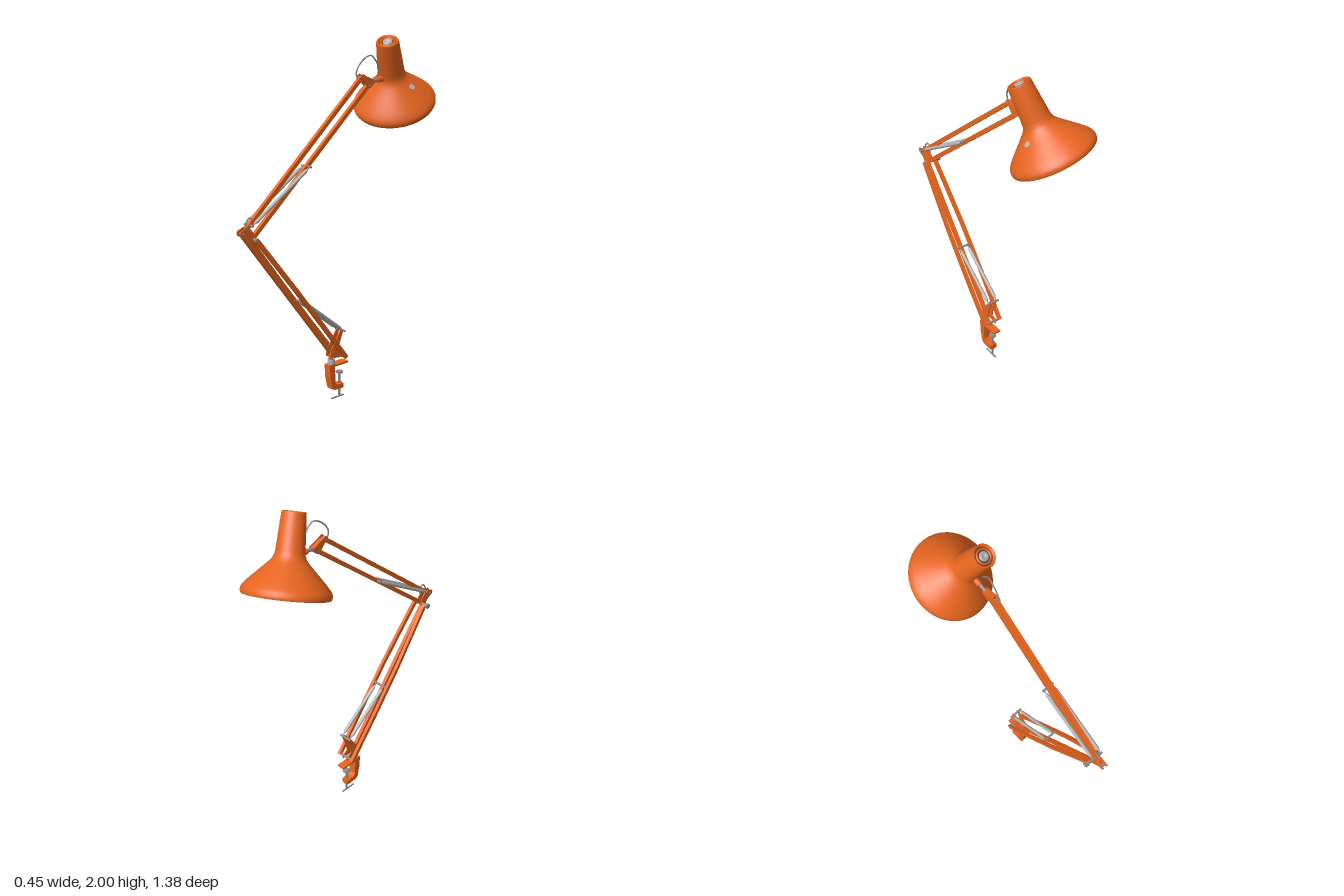
import * as THREE from 'three';

const material = (name, color) => {
  const m = new THREE.MeshStandardMaterial({ color });
  m.name = name;
  return m;
};
const V = (x, y, z) => new THREE.Vector3(x, y, z);
const CX = 0.039; // centre plane of the arm

export function createModel() {
  const model = new THREE.Group();
  model.name = 'deskLamp';
  const orange = material('orangePaint', 0xe9661f);
  const steel = material('steel', 0x8c8c8c);
  const bright = material('brightSteel', 0xb4b4b4);
  const lining = material('shadeLining', 0xb9b5b2);
  const dark = material('darkMetal', 0x4a4541);
  const glass = material('bulbGlass', 0xbdbab6);

  const add = (name, geo, mat, parent = model) => {
    const mesh = new THREE.Mesh(geo, mat);
    mesh.name = name;
    parent.add(mesh);
    return mesh;
  };
  // Rectangular bar between two points
  const bar = (name, a, b, w, h) => {
    const m = add(name, new THREE.BoxGeometry(w, h, a.distanceTo(b)), orange);
    m.position.copy(a).lerp(b, 0.5);
    m.lookAt(b);
  };
  // Round rod between two points
  const rod = (name, a, b, r, mat = steel) => {
    const m = add(name, new THREE.CylinderGeometry(r, r, a.distanceTo(b), 16), mat);
    m.position.copy(a).lerp(b, 0.5);
    m.quaternion.setFromUnitVectors(V(0, 1, 0), b.clone().sub(a).normalize());
  };
  // Pin running across the arm at a given height and depth
  const pin = (name, y, z, half, r) =>
    rod(name, V(CX - half, y, z), V(CX + half, y, z), r);
  // Side-profile plate, points as [z, y]
  const plate = (name, pts, width, x = CX) => {
    const shape = new THREE.Shape(pts.map(p => new THREE.Vector2(p[0], p[1])));
    const geo = new THREE.ExtrudeGeometry(shape, { depth: width, bevelEnabled: false });
    geo.translate(0, 0, -width / 2).rotateY(-Math.PI / 2).translate(x, 0, 0);
    add(name, geo, orange);
  };
  const wire = (name, pts, r) => add(name,
    new THREE.TubeGeometry(new THREE.CatmullRomCurve3(pts), 32, r, 8), steel);
  // Tightly wound spring body with tapered ends and thin hooks
  const spring = (name, a, b) => {
    const len = a.distanceTo(b);
    const pts = [[0.003, 0.015], [0.0098, 0.035], [0.0098, len - 0.035], [0.003, len - 0.015]];
    const m = add(name, new THREE.LatheGeometry(pts.map(p => new THREE.Vector2(...p)), 16), bright);
    m.position.copy(a);
    m.quaternion.setFromUnitVectors(V(0, 1, 0), b.clone().sub(a).normalize());
    rod(name + 'Hook', a, b, 0.003);
  };

  // Table clamp
  plate('clampBody', [[0.075, 0.215], [0.07, 0.14], [0.055, 0.075], [0.04, 0.062], [-0.03, 0.06],
    [-0.03, 0.085], [0.02, 0.09], [0.032, 0.105], [0.036, 0.195], [0.03, 0.215]], 0.044);
  plate('clampUpperJaw', [[0.07, 0.2], [0.07, 0.211], [-0.065, 0.211], [-0.065, 0.2]], 0.046);
  rod('clampScrew', V(CX, 0.006, -0.018), V(CX, 0.152, -0.018), 0.006);
  rod('screwPad', V(CX, 0.146, -0.018), V(CX, 0.156, -0.018), 0.02);
  rod('screwNut', V(CX, 0.055, -0.018), V(CX, 0.09, -0.018), 0.014, orange);
  rod('screwHandle', V(CX, 0.006, 0.042), V(CX, 0.006, -0.05), 0.0045);
  rod('swivelCollar', V(CX, 0.212, 0.045), V(CX, 0.242, 0.045), 0.021, bright);
  rod('swivelPost', V(CX, 0.242, 0.045), V(CX, 0.3, 0.045), 0.014, orange);

  // Base bracket carrying both lower bars and the spring arm
  for (const s of [-1, 1]) {
    plate('baseBracket', [[0.068, 0.262], [0.062, 0.3], [0.03, 0.345], [-0.015, 0.41], [-0.032, 0.4],
      [-0.004, 0.33], [0.005, 0.285], [-0.03, 0.262], [-0.03, 0.242], [0.03, 0.25]], 0.006, CX + s * 0.016);
  }
  pin('springAnchorPin', 0.4, -0.022, 0.04, 0.006);
  pin('lowerBarPin', 0.255, -0.018, 0.058, 0.008);
  pin('centreBarPin', 0.287, 0.045, 0.022, 0.008);

  // Lower arm: one centre bar and two bowed outer bars
  bar('lowerCentreBar', V(CX, 0.28, 0.045), V(CX, 1.068, 0.662), 0.02, 0.024);
  const low = V(0, 0.25, -0.022), high = V(0, 1.035, 0.597);
  for (const s of [-1, 1]) {
    const at = (t, off) => low.clone().lerp(high, t).setX(CX + s * off);
    const stops = [at(0, 0.049), at(0.3, 0.051), at(0.6, 0.049), at(0.8, 0.042), at(1, 0.034)];
    for (let i = 0; i < 4; i++) bar('lowerOuterBar', stops[i], stops[i + 1], 0.018, 0.023);
    spring('lowerSpring', V(CX + s * 0.027, 0.4, -0.022), V(CX + s * 0.027, 0.626, 0.265));
    spring('upperSpring', V(CX + s * 0.027, 1.11, 0.617), V(CX + s * 0.027, 1.358, 0.222));
  }
  pin('lowerSpringPin', 0.626, 0.265, 0.042, 0.006);

  // Elbow
  for (const s of [-1, 1]) {
    plate('elbowBracket', [[0.686, 1.078], [0.68, 1.062], [0.66, 1.054], [0.6, 1.022], [0.582, 1.03],
      [0.588, 1.05], [0.612, 1.085], [0.63, 1.105], [0.645, 1.102], [0.665, 1.094], [0.68, 1.09]],
    0.005, CX + s * 0.0135);
  }
  pin('elbowPin', 1.073, 0.664, 0.019, 0.008);
  pin('elbowLowerPin', 1.035, 0.597, 0.044, 0.008);
  pin('elbowUpperPin', 1.092, 0.636, 0.018, 0.006);
  pin('elbowSpringPin', 1.11, 0.617, 0.036, 0.006);
  rod('elbowKnob', V(-0.024, 1.035, 0.597), V(-0.005, 1.035, 0.597), 0.015);
  wire('elbowCable', [V(CX, 1.085, 0.638), V(CX, 1.12, 0.637), V(CX, 1.145, 0.617),
    V(CX, 1.14, 0.598), V(CX, 1.1, 0.59)], 0.004);

  // Upper arm: two parallel bars
  bar('upperTopBar', V(CX, 1.092, 0.636), V(CX, 1.785, -0.176), 0.02, 0.023);
  bar('upperBottomBar', V(CX, 1.037, 0.597), V(CX, 1.737, -0.226), 0.02, 0.023);
  pin('upperSpringPin', 1.358, 0.222, 0.036, 0.006);

  // Head joint
  for (const s of [-1, 1]) {
    plate('headBracket', [[-0.158, 1.788], [-0.175, 1.806], [-0.205, 1.79], [-0.262, 1.768],
      [-0.262, 1.748], [-0.235, 1.725], [-0.215, 1.73], [-0.185, 1.765]], 0.005, CX + s * 0.0135);
  }
  plate('headBracketCore', [[-0.19, 1.79], [-0.255, 1.766], [-0.255, 1.748], [-0.23, 1.735], [-0.19, 1.765]], 0.024);
  pin('headTopPin', 1.786, -0.176, 0.018, 0.006);
  pin('headBottomPin', 1.738, -0.227, 0.018, 0.006);
  rod('headLink', V(CX, 1.757, -0.235), V(0.042, 1.765, -0.345), 0.01);
  rod('headLinkCollar', V(0.04, 1.762, -0.295), V(0.042, 1.765, -0.335), 0.016, orange);
  wire('headCable', [V(0.038, 1.765, -0.16), V(0.036, 1.81, -0.143), V(0.04, 1.85, -0.158),
    V(0.047, 1.89, -0.2), V(0.054, 1.9, -0.235), V(0.06, 1.872, -0.265), V(0.062, 1.815, -0.3)], 0.004);

  // Lamp head, built along its own axis with the cap at the origin
  const head = new THREE.Group();
  head.name = 'lampHead';
  head.position.set(0.095, 1.975, -0.318);
  head.quaternion.setFromUnitVectors(V(0, 1, 0), V(0.239, 0.884, 0.402).normalize());
  model.add(head);
  const lathe = (name, pts, mat) => add(name,
    new THREE.LatheGeometry(pts.map(p => new THREE.Vector2(p[0], p[1])), 64), mat, head);
  const outer = [[0.225, -0.417], [0.229, -0.41], [0.23, -0.398], [0.227, -0.385], [0.216, -0.368],
    [0.195, -0.345], [0.165, -0.315], [0.13, -0.28], [0.1, -0.25], [0.084, -0.23], [0.077, -0.212],
    [0.074, -0.19], [0.068, -0.1], [0.062, -0.006], [0.059, 0]];
  lathe('shade', outer, orange);
  lathe('shadeLining', outer.slice(0, 13).map(([r, y]) => [r - 0.003, y - 0.001]).reverse(), lining);
  lathe('shadeRim', [[0.222, -0.418], [0.225, -0.417]], lining);
  lathe('neckCeiling', [[0.064, -0.1], [0, -0.1]], lining);

  // Vented cap with recessed rings
  lathe('capLip', [[0.059, 0], [0.05, 0], [0.048, -0.012]], orange);
  lathe('capRecess', [[0.049, -0.012], [0, -0.012]], dark);
  lathe('capRing', [[0.042, -0.012], [0.042, -0.004], [0.033, -0.004], [0.033, -0.012]], orange);
  lathe('capSocket', [[0.025, -0.012], [0.025, -0.002], [0.012, -0.002], [0.01, -0.008], [0, -0.008]], bright);

  // Bulb and holder
  lathe('bulb', [[0, -0.365], [0.025, -0.36], [0.047, -0.345], [0.06, -0.322], [0.064, -0.3],
    [0.058, -0.272], [0.042, -0.245], [0.028, -0.22], [0.024, -0.2]], glass);
  lathe('bulbHolder', [[0.026, -0.21], [0.026, -0.1]], dark);

  // Switch button on the shade
  const sw = add('shadeSwitch', new THREE.CylinderGeometry(0.017, 0.017, 0.012, 16), lining);
  sw.position.set(0.143, 1.716, -0.462);
  sw.quaternion.setFromUnitVectors(V(0, 1, 0), V(0.8, 0.6, 0.15).normalize());

  return model;
}
